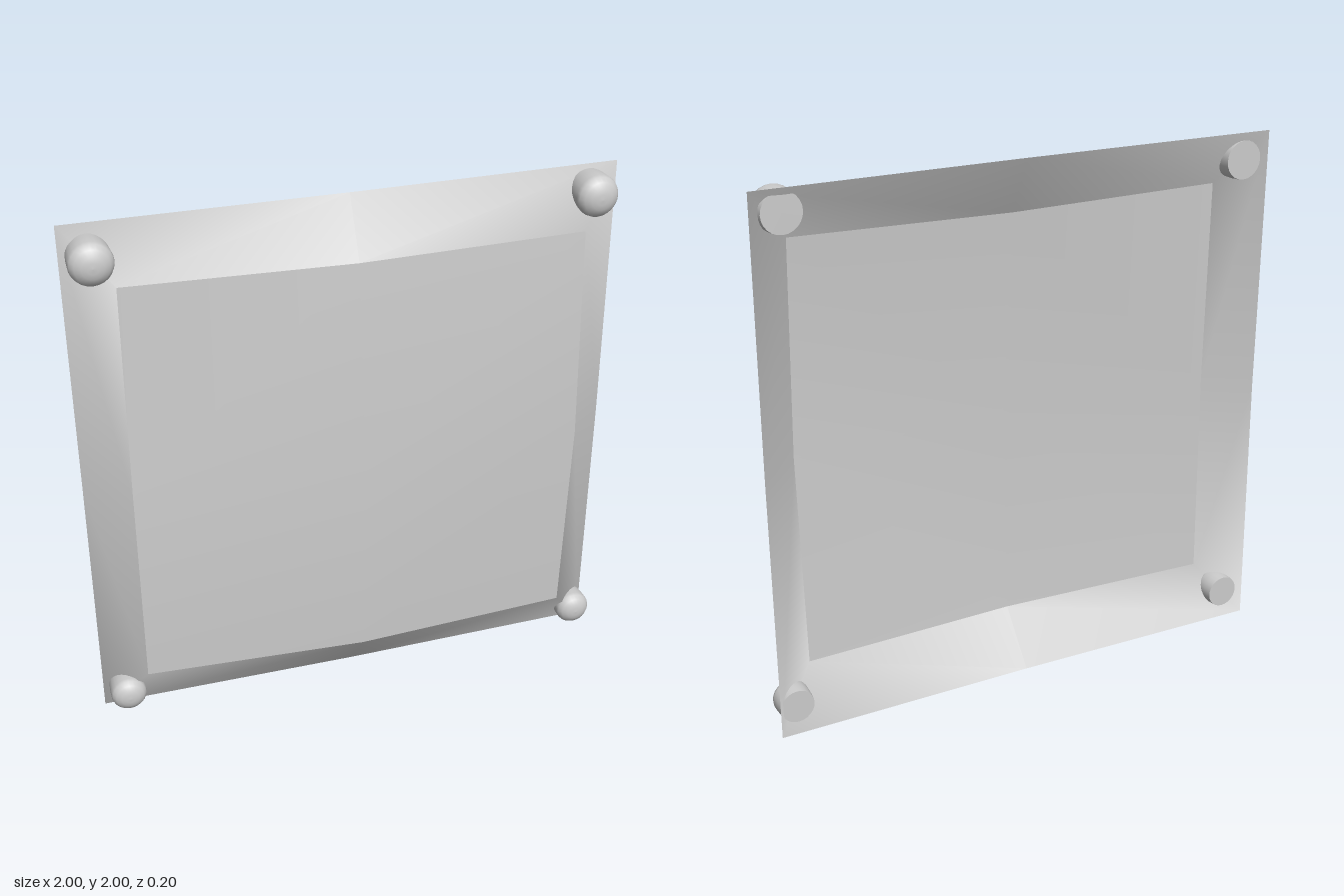
import * as THREE from 'three';

const material = new THREE.MeshStandardMaterial({ color: 0xcccccc, side: THREE.DoubleSide });

// Smooth surface through rows of [x, y, z] points; closed rows form a ring.
function surface(name, rows, closed) {
  const n = rows[0].length, index = [];
  for (let i = 0; i < rows.length - 1; i++) {
    for (let j = 0; j < (closed ? n : n - 1); j++) {
      const k = (j + 1) % n;
      const a = i * n + j, b = i * n + k, c = b + n, d = a + n;
      index.push(a, b, c, a, c, d);
    }
  }
  const g = new THREE.BufferGeometry();
  g.setAttribute('position', new THREE.Float32BufferAttribute(rows.flat(2), 3));
  g.setIndex(index);
  g.computeVertexNormals();
  const mesh = new THREE.Mesh(g, material);
  mesh.name = name;
  return mesh;
}

// Stud with a flat back, straight side and domed head, pointing to +z.
function stud(name, x, y, front, radius) {
  const back = -0.085, depth = front - back;
  const profile = [[0, 0], [0.93, 0], [0.93, 0], [0.98, 0.3], [1, 0.62], [0.95, 0.74],
    [0.78, 0.87], [0.5, 0.96], [0.25, 0.99], [0, 1]]
    .map(([r, t]) => new THREE.Vector2(r * radius, t * depth));
  const mesh = new THREE.Mesh(new THREE.LatheGeometry(profile, 24), material);
  mesh.name = name;
  mesh.rotation.x = Math.PI / 2;
  mesh.position.set(x, y, back);
  return mesh;
}

export function createModel() {
  const group = new THREE.Group();
  group.name = 'studdedPanel';

  // Gently bulging centre panel, bottom row to top row
  const panel = [
    [[-0.84, 0.2, 0.02], [0, 0.195, 0.07], [0.835, 0.2, 0.035]],
    [[-0.84, 1.0, 0.03], [0, 1.0, 0.097], [0.84, 1.0, 0.065]],
    [[-0.83, 1.8, 0.0], [0, 1.785, 0.02], [0.835, 1.8, 0.03]],
  ];
  group.add(surface('centrePanel', panel, false));

  // Sloping border from the outer square up to the panel edge
  const around = [[0, 0], [0, 1], [0, 2], [1, 2], [2, 2], [2, 1], [2, 0], [1, 0]];
  const outer = around.map(([r, c]) => [c - 1, r, r === 1 || c === 1 ? -0.09 : -0.1]);
  const inner = around.map(([r, c]) => panel[r][c]);
  group.add(surface('slopingBorder', [outer, inner], true));

  // Corner studs
  group.add(stud('upperRightStud', -0.905, 1.895, 0.045, 0.078));
  group.add(stud('upperLeftStud', 0.885, 1.915, 0.045, 0.078));
  group.add(stud('lowerRightStud', -0.915, 0.103, 0.03, 0.068));
  group.add(stud('lowerLeftStud', 0.93, 0.103, 0.03, 0.068));
  return group;
}
